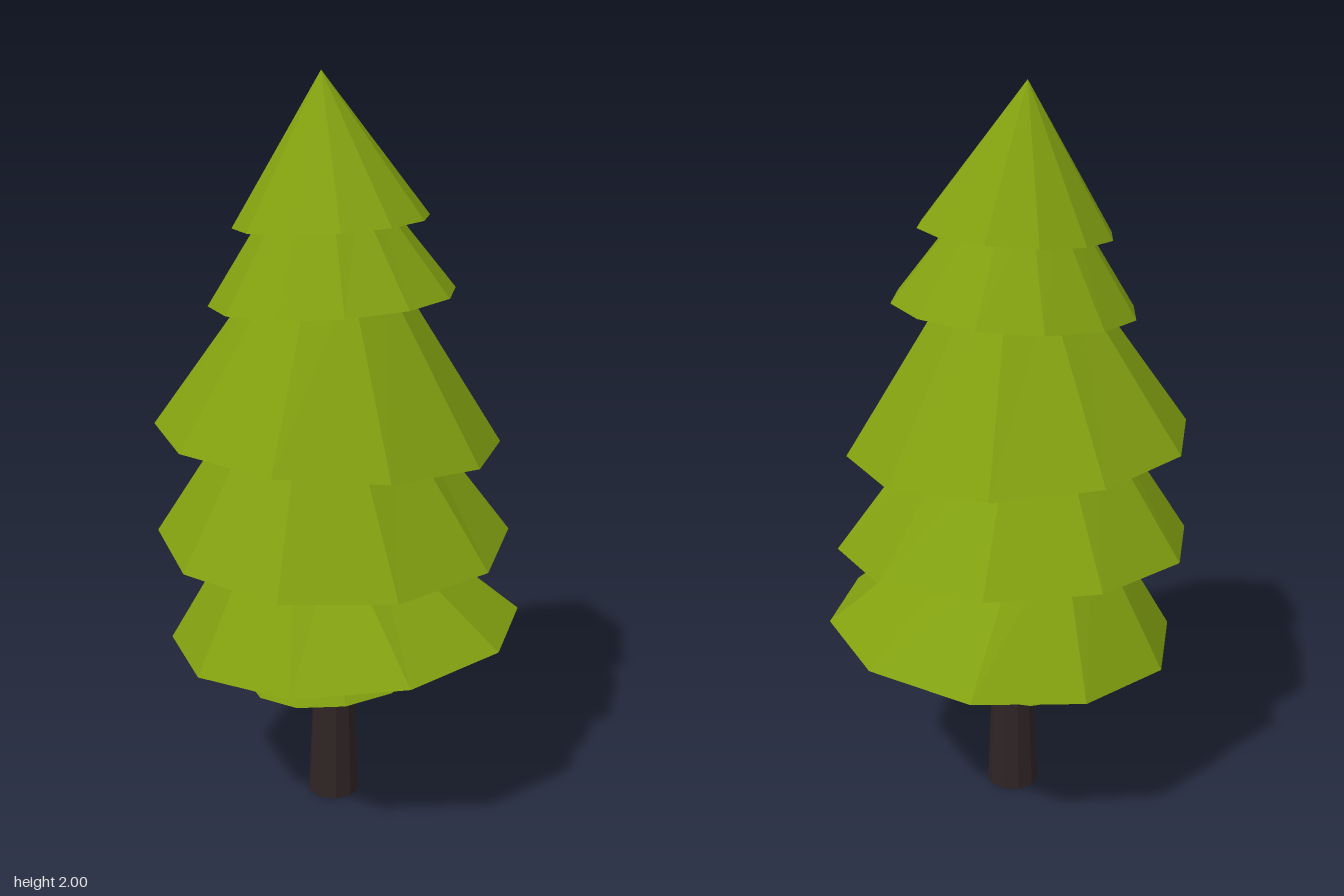
import * as THREE from 'three';

// Flat-shaded frustum: the lower ring is tipped and the upper ring is moved sideways.
// base: [x, y, z], baseR, top: [x, y, z], topR, slope: rise of the lower rim along [x, z]
function leaningFrustum(name, material, { sides, turn = 0, base, baseR, top, topR, slope = [0, 0] }) {
  let geometry = new THREE.CylinderGeometry(topR, baseR, 1, sides, 1, false, turn);
  const p = geometry.attributes.position;
  for (let i = 0; i < p.count; i++) {
    const x = p.getX(i), z = p.getZ(i);
    if (p.getY(i) > 0) p.setXYZ(i, x + top[0], top[1], z + top[2]);
    else p.setXYZ(i, x + base[0], base[1] + slope[0] * x + slope[1] * z, z + base[2]);
  }
  geometry = geometry.toNonIndexed();
  geometry.computeVertexNormals();
  const mesh = new THREE.Mesh(geometry, material);
  mesh.name = name;
  return mesh;
}

export function createModel() {
  const tree = new THREE.Group();
  tree.name = 'pineTree';

  const needles = new THREE.MeshStandardMaterial({ color: 0x82a010, flatShading: true });
  needles.name = 'needle green';
  const bark = new THREE.MeshStandardMaterial({ color: 0x2f2425, flatShading: true });
  bark.name = 'dark bark';

  // Trunk
  tree.add(leaningFrustum('trunk', bark, {
    sides: 10, base: [-0.018, 0, 0.011], baseR: 0.073, top: [-0.016, 0.5, 0.011], topR: 0.053,
  }));

  // Foliage tiers from the ground up; the wide ones have ten sides, the small ones twelve
  const wide = { sides: 10, turn: THREE.MathUtils.degToRad(86) };
  const small = { sides: 12 };
  const tiers = [
    { ...small, base: [-0.01, 0.381, 0.013], baseR: 0.255, top: [-0.027, 0.6, 0.01], topR: 0.13, slope: [0.124, 0] },
    { ...wide, base: [0.014, 0.512, 0.012], baseR: 0.483, top: [-0.07, 0.85, 0.01], topR: 0.18, slope: [0.078, 0.01] },
    { ...wide, base: [-0.015, 0.78, -0.012], baseR: 0.483, top: [-0.04, 1.15, -0.003], topR: 0.22, slope: [0, -0.075] },
    { ...wide, base: [-0.032, 1.063, 0.008], baseR: 0.464, top: [-0.03, 1.5, 0.015], topR: 0.17, slope: [-0.06, -0.01] },
    { ...small, base: [-0.02, 1.43, 0.011], baseR: 0.325, top: [-0.032, 1.7, 0.01], topR: 0.133, slope: [0.062, 0] },
    { ...small, base: [-0.023, 1.625, 0.011], baseR: 0.256, top: [-0.045, 2, -0.022], topR: 0, slope: [0.06, 0] },
  ];
  tiers.forEach((tier, i) => tree.add(leaningFrustum(`foliageTier${i + 1}`, needles, tier)));

  return tree;
}
